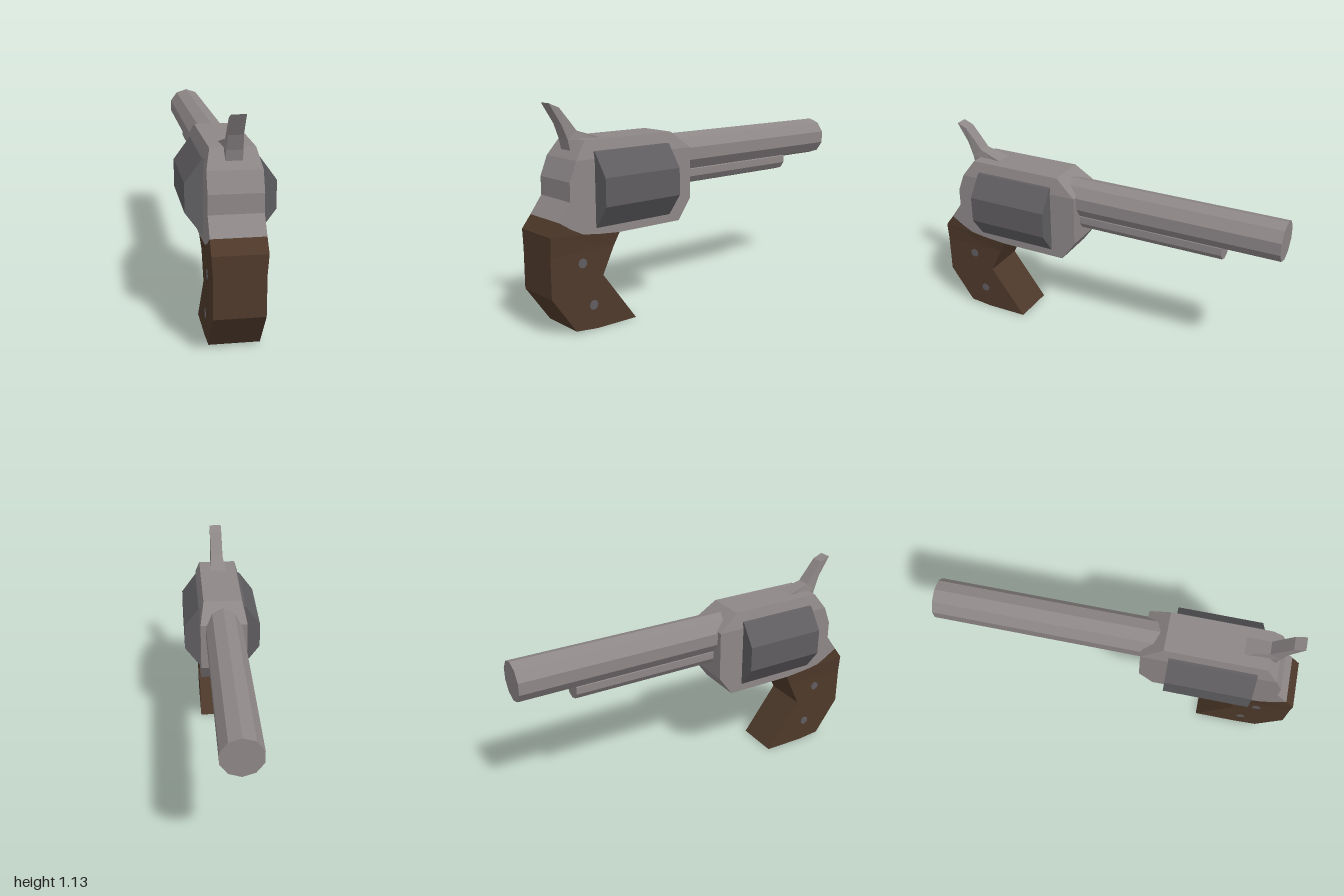
import * as THREE from 'three';

const steel = new THREE.MeshStandardMaterial({ color: 0x8e8788, flatShading: true });
steel.name = 'steel';
const darkSteel = new THREE.MeshStandardMaterial({ color: 0x5f5d60, flatShading: true });
darkSteel.name = 'dark steel';
const wood = new THREE.MeshStandardMaterial({ color: 0x4e392a, flatShading: true });
wood.name = 'wood';

// Plate from a side profile of [z, y] points; halfWidth(z, y) sets the thickness
function plate(name, points, halfWidth, material) {
  const shape = new THREE.Shape(points.map(([z, y]) => new THREE.Vector2(-z, y)));
  const geo = new THREE.ExtrudeGeometry(shape, { depth: 2, bevelEnabled: false });
  geo.translate(0, 0, -1).rotateY(Math.PI / 2);
  const p = geo.attributes.position;
  for (let i = 0; i < p.count; i++) {
    p.setX(i, Math.sign(p.getX(i)) * halfWidth(p.getZ(i), p.getY(i)));
  }
  geo.computeVertexNormals();
  const mesh = new THREE.Mesh(geo, material);
  mesh.name = name;
  return mesh;
}

// Ten-sided rod along z
function rod(name, radius, y, zMin, zMax, material) {
  const geo = new THREE.CylinderGeometry(radius, radius, zMax - zMin, 10);
  geo.rotateX(Math.PI / 2).translate(0, y, (zMin + zMax) / 2);
  const mesh = new THREE.Mesh(geo, material);
  mesh.name = name;
  return mesh;
}

export function createModel() {
  const model = new THREE.Group();
  model.name = 'revolver';
  const WIDE = 0.131, NARROW = 0.124;

  // Seam shared by frame and grip, from the back to the trigger side
  const seam = [[0.95, 0.575], [0.88, 0.53], [0.82, 0.5], [0.74, 0.487], [0.6, 0.475]];

  // Frame: straight body and tapered top
  const frame = new THREE.Group();
  frame.name = 'frame';
  frame.add(
    plate('frameBody', [
      [0.13, 0.86], [0.845, 0.86], [0.885, 0.76], [0.885, 0.665],
      ...seam, [0.21, 0.475], [0.13, 0.585],
    ], () => WIDE, steel),
    plate('frameTop', [[0.13, 0.86], [0.245, 0.95], [0.78, 0.95], [0.845, 0.86]],
      (z, y) => (y > 0.9 ? 0.108 : WIDE), steel),
  );

  // Grip: straight lower part, flaring to meet the frame
  const grip = new THREE.Group();
  grip.name = 'grip';
  grip.add(
    plate('gripLower', [
      [1, 0.41], [1, 0.205], [0.865, 0.013], [0.74, 0], [0.5, 0], [0.7, 0.27], [0.632, 0.41],
    ], () => NARROW, wood),
    plate('gripUpper', [[1, 0.41], [1, 0.51], ...seam, [0.632, 0.41]],
      (z, y) => (y < 0.42 ? NARROW : WIDE), wood),
  );

  // Grip screws, nearly flush on both sides
  for (const [z, y] of [[0.82, 0.353], [0.76, 0.127]]) {
    const geo = new THREE.CylinderGeometry(0.025, 0.025, 2 * NARROW + 0.003, 10);
    const screw = new THREE.Mesh(geo.rotateZ(Math.PI / 2).translate(0, y, z), darkSteel);
    screw.name = 'gripScrew';
    grip.add(screw);
  }

  // Hammer, wider where it meets the frame
  const hammer = plate('hammer', [
    [0.925, 1.13], [0.87, 1.107], [0.815, 1.04], [0.775, 0.99], [0.65, 0.95],
    [0.65, 0.93], [0.818, 0.895], [0.83, 0.95], [0.86, 1.025],
  ], (z, y) => (y > 0.98 ? 0.035 : z < 0.7 ? 0.048 : 0.04), steel);

  model.add(
    frame, grip, hammer,
    rod('cylinder', 0.23, 0.705, 0.277, 0.74, darkSteel),
    rod('barrel', 0.107, 0.8175, -1, 0.21, steel),
    rod('ejectorRod', 0.065, 0.705, -0.69, 0.2, steel),
  );
  model.children.forEach((part) => { part.position.x = -0.004; });
  return model;
}
